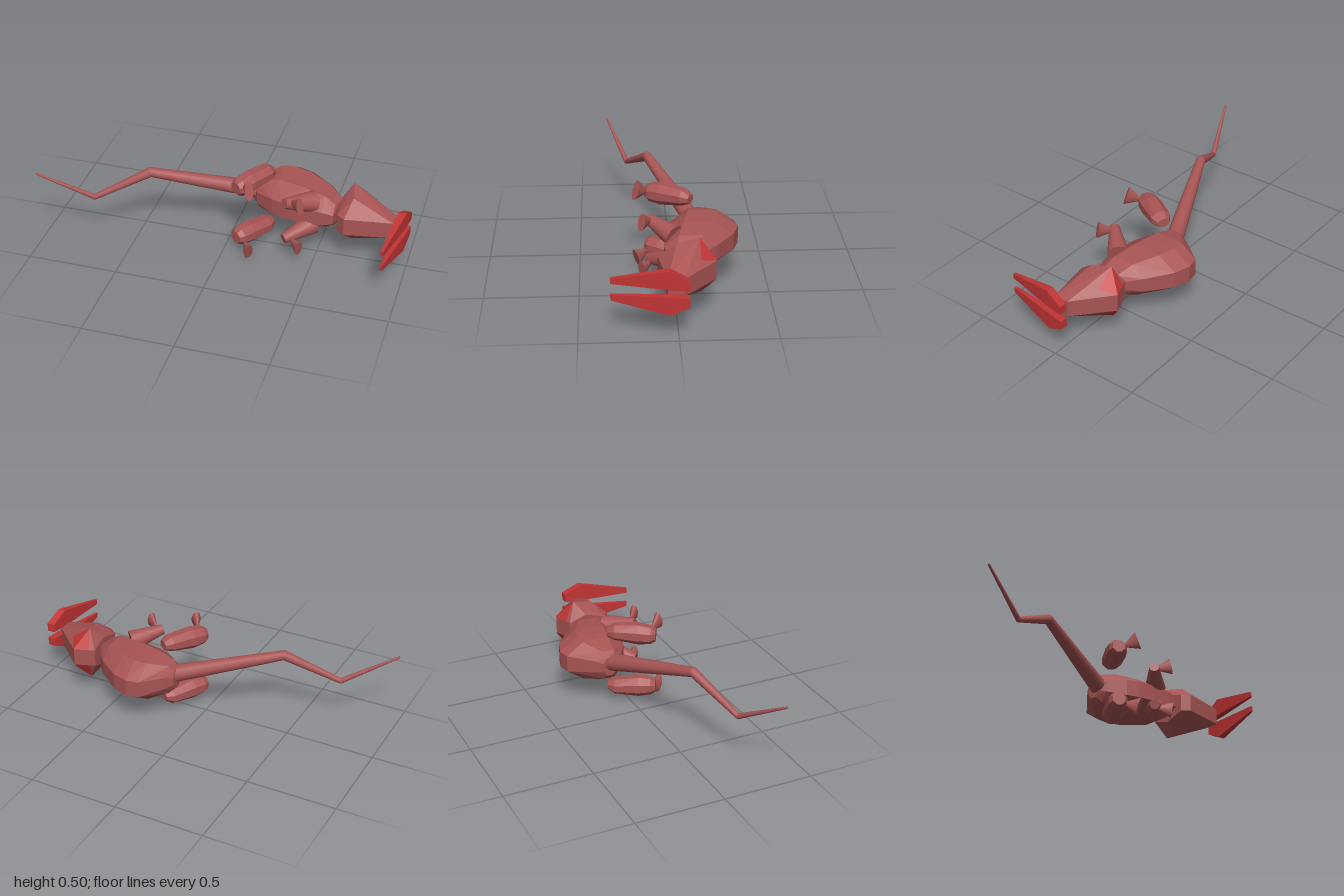
import * as THREE from 'three';
import { ConvexGeometry } from 'three/addons/geometries/ConvexGeometry.js';

const MID = 0.255; // height of the symmetry plane: the animal lies on its side, back towards -z
const V = (x, y, z) => new THREE.Vector3(x, y, z);

export function createModel() {
  const hide = new THREE.MeshStandardMaterial({ color: 0xa85454 });
  hide.name = 'dullRedHide';
  const red = new THREE.MeshStandardMaterial({ color: 0xc23434 });
  red.name = 'brightRed';
  const model = new THREE.Group();

  const add = (name, geometry, material) => {
    const mesh = new THREE.Mesh(geometry, material);
    mesh.name = name;
    model.add(mesh);
    return mesh;
  };
  const hull = (name, points, material) => add(name, new ConvexGeometry(points), material);

  // Smooth tapered limb between two points
  const taper = (name, a, b, ra, rb) => {
    const dir = b.clone().sub(a);
    const mesh = add(name, new THREE.CylinderGeometry(rb, ra, dir.length(), 16), hide);
    mesh.position.copy(a).add(b).multiplyScalar(0.5);
    mesh.quaternion.setFromUnitVectors(V(0, 1, 0), dir.normalize());
  };

  // Flattened cone: point at the ankle, broad oval sole
  const foot = (name, ankle, sole, narrow, wide) => {
    const dir = ankle.clone().sub(sole);
    const g = new THREE.ConeGeometry(1, 1, 24);
    const y = dir.clone().normalize();
    const z = V(0, 1, 0).addScaledVector(y, -y.y).normalize();
    const x = y.clone().cross(z);
    const m = new THREE.Matrix4().makeBasis(
      x.multiplyScalar(narrow), dir, z.multiplyScalar(wide));
    m.setPosition(ankle.clone().add(sole).multiplyScalar(0.5));
    add(name, g.applyMatrix4(m), hide);
  };

  // Hunched body: eight-sided sections [x, back z, belly z, half width]
  const body = [];
  for (const [x, t, b, w] of [
    [0.11, -0.17, -0.09, 0.055], [0.14, -0.21, -0.05, 0.085], [0.24, -0.335, 0.01, 0.115],
    [0.31, -0.348, 0.035, 0.117], [0.4, -0.318, 0.05, 0.115], [0.53, -0.22, 0.055, 0.1],
    [0.59, -0.15, 0.045, 0.065], [0.61, -0.12, -0.05, 0.055],
  ]) {
    const h = (b - t) * 0.28;
    for (const s of [-1, 1]) {
      body.push(V(x, MID + s * w * 0.41, t), V(x, MID + s * w, t + h),
        V(x, MID + s * w, b - h), V(x, MID + s * w * 0.41, b));
    }
  }
  hull('body', body, hide);

  // Faceted head, wide at the cheeks and tapering to a blunt snout
  const head = [];
  for (const s of [-1, 1]) {
    for (const [x, y, z] of [
      [0.617, 0.05, -0.16], [0.73, 0.05, -0.2], [0.67, 0.155, -0.115], [0.92, 0.047, -0.03],
      [0.92, 0.047, 0.053], [0.66, 0.05, 0.095], [0.617, 0.05, 0.06], [0.617, 0.085, -0.06],
      [0.69, 0.13, 0.0],
    ]) head.push(V(x, MID + s * y, z));
  }
  hull('head', head, hide);

  // Tail in three kinked segments
  const tail = [[0.15, 0.265, -0.12, 0.05], [-0.42, 0.42, 0.11, 0.027],
    [-0.71, 0.275, 0.225, 0.015], [-0.995, 0.445, 0.338, 0.006]];
  for (let i = 0; i < 3; i++) {
    const [ax, ay, az, ar] = tail[i], [bx, by, bz, br] = tail[i + 1];
    taper('tailSegment' + (i + 1), V(ax, ay, az), V(bx, by, bz), ar, br);
    if (i < 2) add('tailJoint', new THREE.SphereGeometry(br, 16, 10), hide).position.set(bx, by, bz);
  }

  for (const s of [-1, 1]) {
    const side = s > 0 ? 'Upper' : 'Lower';
    const P = (x, y, z) => V(x, MID + s * y, z);

    // Red eye panel: two thin faces just proud of the cheek
    const centre = V(0.7, MID, -0.05);
    const [apex, ridge, rear, front] = [P(0.67, 0.155, -0.115), P(0.73, 0.05, -0.2),
      P(0.65, 0.05, -0.172), P(0.78, 0.078, -0.12)]
      .map((p) => p.sub(centre).multiplyScalar(1.025).add(centre));
    const tris = [[apex, ridge, rear], [apex, front, ridge]];
    const corners = tris.flatMap(([a, b, c]) => (s > 0 ? [a, b, c] : [a, c, b]));
    const panel = new THREE.BufferGeometry().setFromPoints(corners);
    panel.computeVertexNormals();
    add('eyePanel' + side, panel, red);

    // Long tapering tusk in front of the snout: [z, x min, x max, inner, outer]
    const tusk = [];
    for (const [z, x0, x1, y0, y1] of [[-0.052, 0.957, 1.0, 0.022, 0.07],
      [0.045, 0.94, 0.984, 0.021, 0.12], [0.336, 0.905, 0.92, 0.03, 0.06]]) {
      tusk.push(P(x0, y0, z), P(x1, y0, z), P(x0, y1, z), P(x1, y1, z));
    }
    hull('tusk' + side, tusk, red);

    // Hind thigh: rounded block along a slanted axis [t, half width, half height, offset]
    const thigh = [];
    const n = [0.854, 0.52];
    for (const [t, p, q, off] of [[0, 0.032, 0.025, 0.165], [0.15, 0.055, 0.045, 0.17],
      [0.65, 0.058, 0.06, 0.163], [0.9, 0.053, 0.05, 0.16], [1, 0.035, 0.035, 0.16]]) {
      for (let i = 0; i < 8; i++) {
        const a = (i + 0.5) * Math.PI / 4, c = Math.cos(a) * 1.05 * p;
        thigh.push(P(0.21 - 0.14 * t + n[0] * c, off + Math.sin(a) * 1.05 * q, -0.1 + 0.23 * t + n[1] * c));
      }
    }
    hull('hindThigh' + side, thigh, hide);
    foot('hindFoot' + side, P(0.105, 0.17, 0.115), P(0.16, 0.2, 0.19), 0.025, 0.055);

    // Front leg
    taper('frontLeg' + side, P(0.47, 0.07, 0.0), P(0.34, 0.115, 0.13), 0.06, 0.028);
    foot('frontFoot' + side, P(0.355, 0.115, 0.1), P(0.435, 0.135, 0.168), 0.023, 0.048);
  }
  return model;
}
